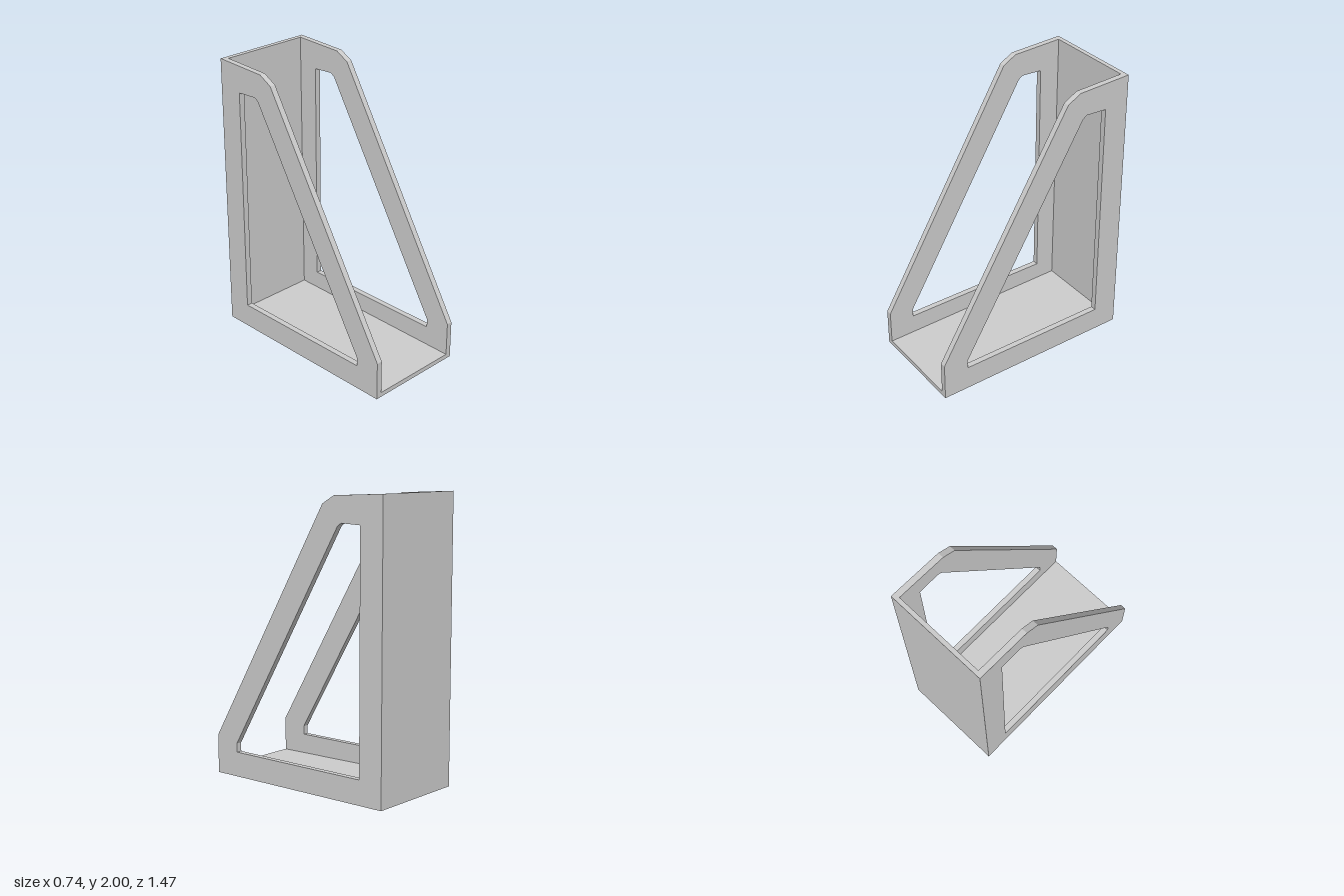
import * as THREE from 'three';

const W = 0.37;      // half width
const INNER = 0.328; // half width between the side walls

const material = new THREE.MeshStandardMaterial({ color: 0xcccccc });
const points = (list) => list.map(([z, y]) => new THREE.Vector2(z, y));

// Extrudes a (z, y) profile along x, from x0 to x1
function slab(name, profile, x0, x1, hole) {
  const shape = new THREE.Shape(points(profile));
  if (hole) shape.holes.push(new THREE.Path(points(hole)));
  const geometry = new THREE.ExtrudeGeometry(shape, { depth: x1 - x0, bevelEnabled: false });
  geometry.rotateY(-Math.PI / 2);
  geometry.translate(x1, 0, 0);
  const mesh = new THREE.Mesh(geometry, material);
  mesh.name = name;
  return mesh;
}

export function createModel() {
  const group = new THREE.Group();
  group.name = 'openHolder';

  // Sloped side frames with a triangular window
  const outline = [
    [0.735, 0], [0.735, 0.275], [-0.245, 1.928], [-0.34, 1.982],
    [-0.735, 2], [-0.735, 0.01],
  ];
  const windowHole = [
    [0.55, 0.176], [0.55, 0.238], [-0.37, 1.788], [-0.4, 1.81],
    [-0.555, 1.803], [-0.555, 0.18],
  ];
  group.add(slab('leftSide', outline, INNER, W, windowHole));
  group.add(slab('rightSide', outline, -W, -INNER, windowHole));

  // Back wall
  group.add(slab('backWall',
    [[-0.735, 0.01], [-0.7, 0.01], [-0.705, 1.998], [-0.735, 2]], -INNER, INNER));

  // Slightly tilted floor
  group.add(slab('floor',
    [[0.735, 0], [0.735, 0.033], [-0.7, 0.055], [-0.7, 0.01]], -INNER, INNER));

  return group;
}
